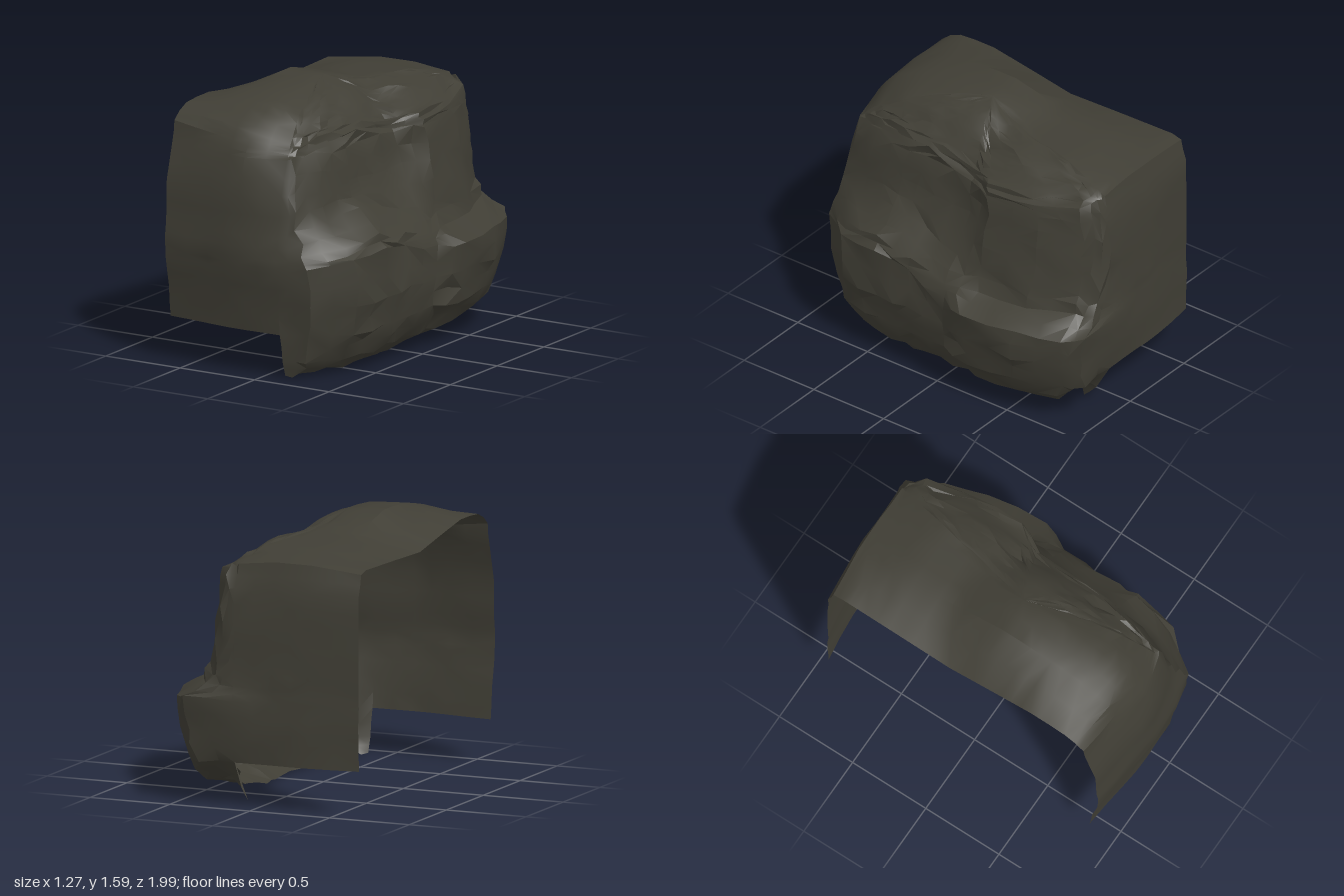
import * as THREE from 'three';
import { toCreasedNormals } from 'three/addons/utils/BufferGeometryUtils.js';

const { lerp, clamp, smoothstep } = THREE.MathUtils;

// repeatable pseudo-random number from -1 to 1
const noise = (a, b) => {
  const s = Math.sin(a * 127.1 + b * 311.7) * 43758.5453;
  return (s - Math.floor(s)) * 2 - 1;
};

// piecewise linear lookup in [[in, out], ...] with rising inputs
function lookup(keys, v) {
  if (v <= keys[0][0]) return keys[0][1];
  for (let i = 1; i < keys.length; i++) {
    const [a, p] = keys[i - 1], [b, q] = keys[i];
    if (v <= b) return p + (q - p) * (v - a) / (b - a);
  }
  return keys[keys.length - 1][1];
}

// rock outlines, bottom to top: height, front z, back z, front corner bevel, side x from front to back
const LEVELS = [
  [0.02, 0.87, -0.77, 0, [0.20, 0.26, 0.28, 0.28, 0.27, 0.25, 0.24, 0.22, 0.18]],
  [0.11, 0.90, -0.86, 0, [0.25, 0.37, 0.42, 0.43, 0.43, 0.44, 0.44, 0.38, 0.27]],
  [0.27, 0.93, -0.95, 0, [0.28, 0.46, 0.50, 0.50, 0.52, 0.57, 0.55, 0.46, 0.36]],
  [0.45, 0.95, -0.98, 0, [0.30, 0.50, 0.53, 0.53, 0.55, 0.61, 0.60, 0.51, 0.41]],
  [0.63, 0.98, -1.00, 0, [0.30, 0.49, 0.52, 0.52, 0.56, 0.63, 0.60, 0.51, 0.43]],
  [0.71, 0.99, -0.97, 0.01, [0.28, 0.42, 0.49, 0.50, 0.52, 0.47, 0.44, 0.36, 0.28]],
  [0.84, 0.98, -0.96, 0.03, [0.22, 0.30, 0.34, 0.36, 0.41, 0.43, 0.40, 0.30, 0.22]],
  [1.08, 0.97, -0.97, 0.05, [0.18, 0.25, 0.28, 0.28, 0.30, 0.385, 0.36, 0.27, 0.20]],
  [1.28, 0.915, -0.95, 0.06, [0.15, 0.20, 0.23, 0.24, 0.26, 0.365, 0.34, 0.25, 0.18]],
];
const SIDE_Z = [0.94, 0.71, 0.44, 0.2, -0.08, -0.27, -0.62, -0.9, -0.99];
// the ledge rises towards the front, the underside towards the back corner
const LEDGE_LIFT = [0.04, 0.07, 0.09, 0.05, 0, 0, 0, 0, 0];
const FLOOR = [0, 0, 0, 0, 0, 0, 0.05, 0.12, 0.2];
const WALL_X = [-0.64, -0.34, -0.12, 0.12];
const FRONT_IN = [0.05, 0.02, 0, 0.01];
const BACK_Z = [-0.91, -0.945, -0.955, -1];
const CUT_ROW = 2;

// roof heights along z: open edge, crown, and the fall of the front and rear blocks along x
const EDGE = [[-0.95, 1.25], [-0.91, 1.37], [-0.85, 1.42], [-0.4, 1.41], [-0.08, 1.40],
  [0.2, 1.45], [0.5, 1.5], [0.7, 1.49], [0.8, 1.45], [0.86, 1.38], [0.93, 1.2]];
const ROOF = [[-0.95, 1.3], [-0.9, 1.44], [-0.6, 1.49], [-0.2, 1.51], [0, 1.6], [0.2, 1.6],
  [0.4, 1.585], [0.6, 1.545], [0.8, 1.46], [0.9, 1.32]];
const FALL_FRONT = [[-0.15, 0], [0.04, 0.07], [0.18, 0.2], [0.25, 0.3]];
const FALL_REAR = [[0.04, 0], [0.18, 0.05], [0.31, 0.15], [0.38, 0.23]];

function wallRow([y, zf, zb, bevel, side], row) {
  const lift = row >= 4 && row <= 6 ? 1 : 0;
  const front = WALL_X.map((x, i) => new THREE.Vector3(x, y, zf - FRONT_IN[i] - (i === 3 ? bevel : 0)));
  const flank = SIDE_Z.map((k, i) => new THREE.Vector3(
    side[i],
    Math.max(y + lift * LEDGE_LIFT[i], FLOOR[i] + row * 0.02),
    (k > 0 ? k * zf : -k * zb) - (i === 0 ? bevel : 0)));
  const back = WALL_X.map((x, i) => new THREE.Vector3(x, y, Math.max(BACK_Z[i], zb + 0.01))).reverse();
  return [...front, ...flank, ...back];
}

// shrink the top wall row towards a ridge line
function roofRow(base, s) {
  return base.map((p) => {
    const x = lerp(Math.min(p.x, -0.12), p.x, s);
    const z = lerp(0.08, p.z, s);
    const block = smoothstep(z, -0.24, -0.1);
    const fall = lerp(lookup(FALL_REAR, x), lookup(FALL_FRONT, x), block);
    const crown = clamp((x + 0.64) / 0.31, 0, 1);
    const y = lerp(lookup(EDGE, z), lookup(ROOF, z) - fall, crown);
    return new THREE.Vector3(x, Math.max(y, 1.28 + Math.min(1 - s, 0.3) * 0.4), z);
  });
}

function rockShell() {
  const rows = LEVELS.map(wallRow);
  const top = rows[rows.length - 1];
  for (const s of [0.96, 0.9, 0.8, 0.66, 0.5, 0.33, 0.16, 0]) rows.push(roofRow(top, s));
  const cols = top.length, sub = 2;
  const nu = (cols - 1) * sub, nv = (rows.length - 1) * sub;
  const pos = [], index = [];
  for (let v = 0; v <= nv; v++) {
    for (let u = 0; u <= nu; u++) {
      const r = Math.min(Math.floor(v / sub), rows.length - 2), c = Math.min(Math.floor(u / sub), cols - 2);
      const fu = u / sub - c, fv = v / sub - r;
      const p = rows[r][c].clone().lerp(rows[r][c + 1], fu)
        .lerp(rows[r + 1][c].clone().lerp(rows[r + 1][c + 1], fu), fv);
      // chipped surface, strongest on the flank and fading out over the roof
      const flank = u > 3 * sub && u < nu - 3 * sub;
      const fade = clamp((nv - v) / (7 * sub), 0, 1);
      const amp = (flank ? 0.017 : 0.006) * fade;
      if (flank) {
        p.x += noise(u, v) * amp;
        p.y += noise(u, v + 7) * amp;
      }
      p.z += noise(u + 9, v + 4) * amp * 0.8;
      pos.push(p.x, p.y, p.z);
    }
  }
  for (let v = 0; v < nv; v++) {
    for (let u = 0; u < nu; u++) {
      // the front and back walls stop above the ground
      if (v < CUT_ROW * sub && (u < 3 * sub || u >= nu - 3 * sub)) continue;
      const a = v * (nu + 1) + u, b = a + 1, d = a + nu + 1, e = d + 1;
      if (noise(u, v * 3) > 0) index.push(a, b, e, a, e, d);
      else index.push(a, b, d, b, e, d);
    }
  }
  const g = new THREE.BufferGeometry();
  g.setAttribute('position', new THREE.Float32BufferAttribute(pos, 3));
  g.setIndex(index);
  return toCreasedNormals(g, 0.45);
}

export function createModel() {
  const group = new THREE.Group();
  const rock = new THREE.MeshStandardMaterial({ color: 0x403e35, side: THREE.DoubleSide });
  rock.name = 'dark olive rock';
  const shell = new THREE.Mesh(rockShell(), rock);
  shell.name = 'rockShell';
  group.add(shell);
  return group;
}
